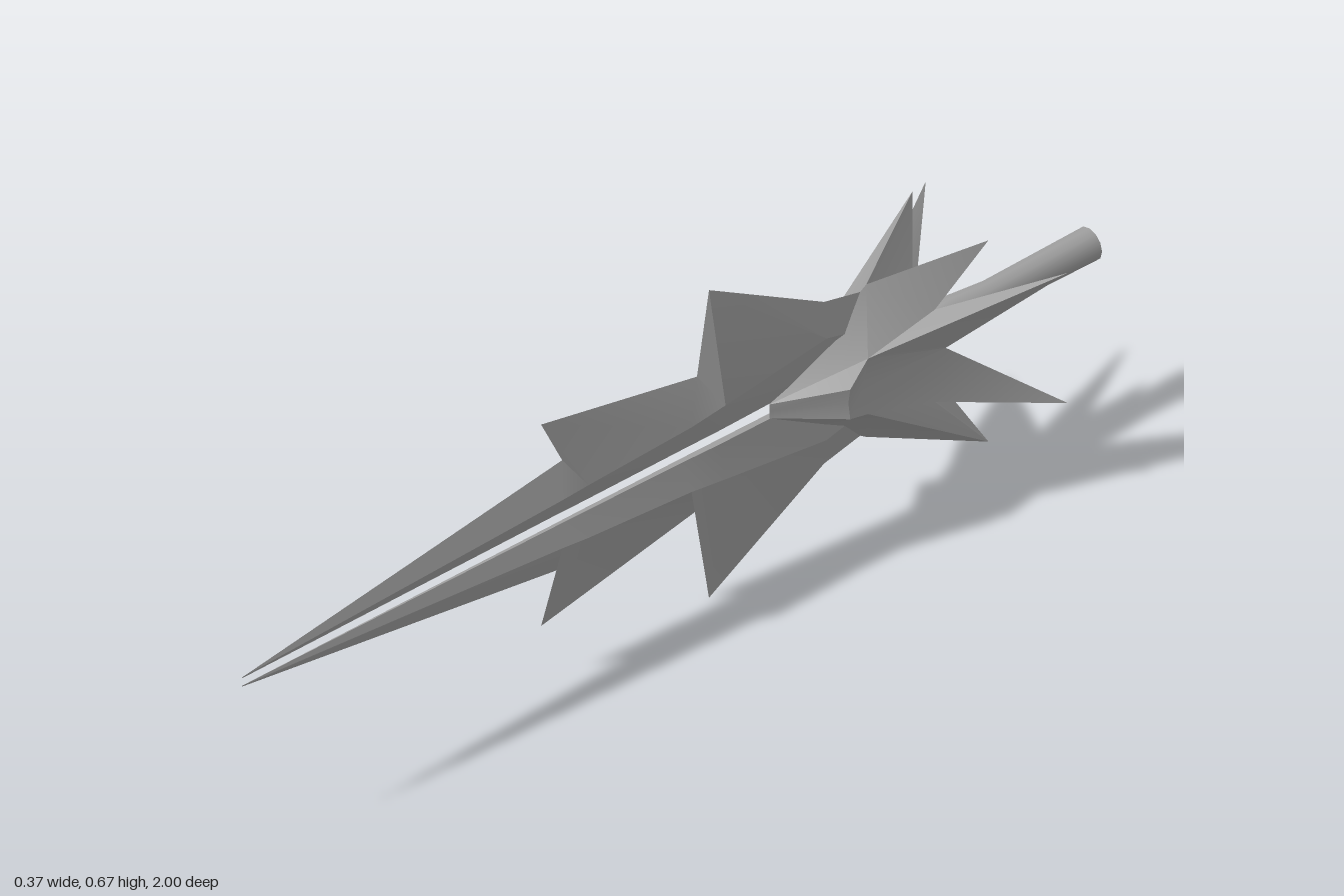
import * as THREE from 'three';
import { toCreasedNormals } from 'three/addons/utils/BufferGeometryUtils.js';

const MID = 0.337; // height of the weapon's axis

// Collects polygons, with mirrored copies, into one geometry
function build(polys, mirrors, crease) {
  const pos = [];
  for (const [sx, sy] of mirrors) {
    for (const poly of polys) {
      const p = sx * sy < 0 ? [...poly].reverse() : poly;
      for (let i = 1; i < p.length - 1; i++) {
        for (const v of [p[0], p[i], p[i + 1]]) pos.push(v[0] * sx, v[1] * sy, v[2]);
      }
    }
  }
  const g = new THREE.BufferGeometry();
  g.setAttribute('position', new THREE.Float32BufferAttribute(pos, 3));
  return toCreasedNormals(g, crease);
}

// One blade half: barbed outer edge, raised ridge, inner edge, flat back
function bladePolys() {
  const back = -0.013;
  // outer z, y, x | ridge z, y, x | inner y, x
  const rows = [
    [1, 0.01, back, 1, 0.01, back, 0.008, back],
    [0.24, 0.117, back, 0.26, 0.052, 0.01, 0.012, -0.006],
    [0.29, 0.218, back, 0.2, 0.057, 0.012, 0.012, -0.005],
    [-0.08, 0.145, back, -0.04, 0.07, 0.017, 0.014, -0.002],
    [-0.095, 0.333, 0.002, -0.12, 0.08, 0.018, 0.015, 0],
    [-0.37, 0.175, 0, -0.36, 0.11, 0.018, 0.018, 0],
    [-0.48, 0.15, 0, -0.48, 0.08, 0.018, 0.02, 0],
  ].map(([oz, oy, ox, rz, ry, rx, iy, ix]) => [
    [ox, oy, oz], [rx, ry, rz], [ix, iy, rz], [back, iy, rz],
  ]);
  const polys = [];
  for (let i = 0; i < rows.length - 1; i++) {
    for (let j = 0; j < 3; j++) {
      polys.push([rows[i][j], rows[i][j + 1], rows[i + 1][j + 1], rows[i + 1][j]]);
    }
  }
  const outline = [...rows.map(r => r[0]), ...rows.map(r => r[3]).reverse()];
  const flat = outline.map(v => new THREE.Vector2(v[2], v[1]));
  for (const f of THREE.ShapeUtils.triangulateShape(flat, [])) polys.push(f.map(i => outline[i]));
  return polys;
}

// One quarter of the spiked hub
function hubPolys() {
  const nose = [0, 0.015, -0.24], nose0 = [0, 0, -0.24];
  const valley = [0, 0.165, -0.47];
  const upperTip = [0.1, 0.218, -0.67], sideTip = [0.187, 0.141, -0.78];
  const notch = [0.07, 0.1, -0.57], side = [0.065, 0, -0.6];
  const fin = [0.08, 0.032, -0.36], fin0 = [0.075, 0, -0.36];
  const cheek = [0.06, 0.06, -0.42], cheek0 = [0.05, 0, -0.42];
  const rear = [0, 0.03, -0.58], rear0 = [0, 0, -0.58];
  return [
    [nose, cheek, valley],
    [valley, cheek, notch, upperTip],
    [cheek, side, sideTip, notch],
    [nose, fin, cheek],
    [nose0, fin0, fin, nose],
    [fin0, cheek0, cheek, fin],
    [cheek0, side, cheek],
    [valley, upperTip, rear],
    [upperTip, notch, rear],
    [notch, sideTip, rear],
    [sideTip, side, rear],
    [side, rear0, rear],
  ];
}

export function createModel() {
  const root = new THREE.Group();
  root.name = 'spearHead';
  const steel = new THREE.MeshStandardMaterial({ color: 0xa0a0a0, side: THREE.DoubleSide });
  steel.name = 'grey steel';
  const add = (name, geometry) => {
    const mesh = new THREE.Mesh(geometry, steel);
    mesh.name = name;
    mesh.position.y = MID;
    root.add(mesh);
  };

  // Twin blades with a narrow slot between them
  add('upperBlade', build(bladePolys(), [[1, 1]], 0.3));
  add('lowerBlade', build(bladePolys(), [[1, -1]], 0.3));

  // Hub with eight swept-back spikes
  add('spikedHub', build(hubPolys(), [[1, 1], [-1, 1], [1, -1], [-1, -1]], 0.6));

  // Shaft with a slight swelling where it enters the hub
  const profile = [[0, -1], [0.033, -1], [0.033, -0.999], [0.03, -0.76], [0.038, -0.67], [0.033, -0.6], [0.02, -0.5]]
    .map(([r, z]) => new THREE.Vector2(r, z));
  const shaft = new THREE.LatheGeometry(profile, 12);
  shaft.rotateX(Math.PI / 2);
  add('shaft', toCreasedNormals(shaft, 0.8));
  return root;
}
